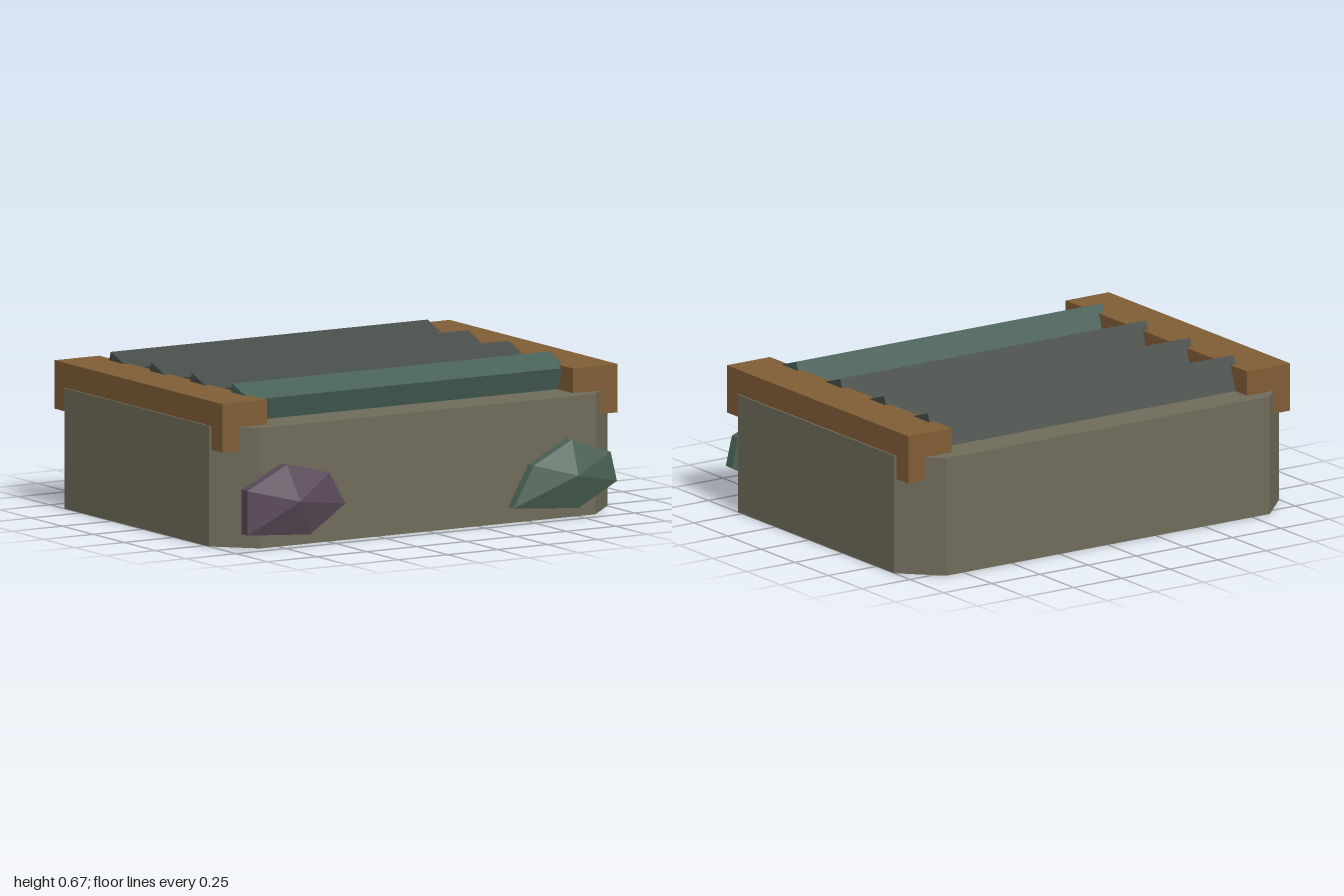
import * as THREE from 'three';

const mat = (color) => new THREE.MeshStandardMaterial({ color, flatShading: true });

const STONE = mat(0x6f6c5b);
const WOOD = mat(0x805d36);
const SLATE = mat(0x474d48);
const TEAL = mat(0x486259);
const PURPLE = mat(0x594958);
const GREEN = mat(0x4a6152);

function addMesh(parent, name, geometry, material) {
  const mesh = new THREE.Mesh(geometry, material);
  mesh.name = name;
  parent.add(mesh);
  return mesh;
}

// Box given by its two opposite corners
function addBox(parent, name, [x0, y0, z0], [x1, y1, z1], material) {
  const mesh = addMesh(parent, name, new THREE.BoxGeometry(x1 - x0, y1 - y0, z1 - z0), material);
  mesh.position.set((x0 + x1) / 2, (y0 + y1) / 2, (z0 + z1) / 2);
  return mesh;
}

// Faceted crystal: a prism with a shallow pyramid on its front; outline runs clockwise
function crystalGeometry(outline, apex, back, rim, tip) {
  const pos = [];
  const cx = apex[0], cy = apex[1];
  outline.forEach(([ax, ay], i) => {
    const [bx, by] = outline[(i + 1) % outline.length];
    pos.push(bx, by, rim, ax, ay, rim, cx, cy, tip);
    pos.push(bx, by, back, ax, ay, back, ax, ay, rim);
    pos.push(bx, by, back, ax, ay, rim, bx, by, rim);
    pos.push(ax, ay, back, bx, by, back, cx, cy, back);
  });
  const geometry = new THREE.BufferGeometry();
  geometry.setAttribute('position', new THREE.Float32BufferAttribute(pos, 3));
  geometry.computeVertexNormals();
  return geometry;
}

export function createModel() {
  const model = new THREE.Group();
  model.name = 'slattedBlock';

  // Stone block with chamfered upright corners, extruded upwards
  const front = 0.69, rear = -0.79, cut = 0.16;
  const plan = new THREE.Shape([
    [1, -front + cut], [1, -rear - cut], [1 - cut, -rear], [-1 + cut, -rear],
    [-1, -rear - cut], [-1, -front + cut], [-1 + cut, -front], [1 - cut, -front],
  ].map(([x, y]) => new THREE.Vector2(x, y)));
  const block = new THREE.ExtrudeGeometry(plan, { depth: 0.52, bevelEnabled: false });
  block.rotateX(-Math.PI / 2);
  addMesh(model, 'stoneBlock', block, STONE);

  // Wooden side rails with a hook at each end
  for (const side of [1, -1]) {
    const rail = new THREE.Group();
    rail.name = side > 0 ? 'leftRail' : 'rightRail';
    const [inner, hook, outer] = [0.768, 0.905, 0.992];
    const span = (x) => (side > 0 ? [x, outer] : [-outer, -x]);
    const [b0, b1] = span(inner);
    addBox(rail, 'railBeam', [b0, 0.52, -0.725], [b1, 0.627, 0.625], WOOD);
    const [h0, h1] = span(hook);
    addBox(rail, 'frontHook', [h0, 0.418, 0.538], [h1, 0.52, 0.625], WOOD);
    addBox(rail, 'rearHook', [h0, 0.418, -0.725], [h1, 0.52, -0.635], WOOD);
    model.add(rail);
  }

  // Tilted slats let into the rails; the front one is teal
  const tilt = Math.atan2(0.05, 0.145), width = 0.153, thick = 0.16;
  const slatGeometry = new THREE.BoxGeometry(1.59, thick, width);
  slatGeometry.translate(0, -thick / 2, width / 2);
  for (let i = 0; i < 4; i++) {
    const slat = addMesh(model, 'slat' + (i + 1), slatGeometry, i === 0 ? TEAL : SLATE);
    slat.position.set(0, 0.665, 0.39 - i * 0.326);
    slat.rotation.x = tilt;
  }

  // Crystals on the front face
  addMesh(model, 'rightCrystal', crystalGeometry([
    [-0.935, 0.262], [-0.737, 0.358], [-0.523, 0.305], [-0.443, 0.166], [-0.62, 0.048], [-0.935, 0.07],
  ], [-0.7, 0.203], front, 0.736, 0.787), PURPLE);
  addMesh(model, 'leftCrystal', crystalGeometry([
    [0.402, 0.07], [0.503, 0.246], [0.695, 0.342], [0.888, 0.273], [0.92, 0.144], [0.728, 0.043],
  ], [0.695, 0.193], front, 0.736, 0.787), GREEN);

  return model;
}
